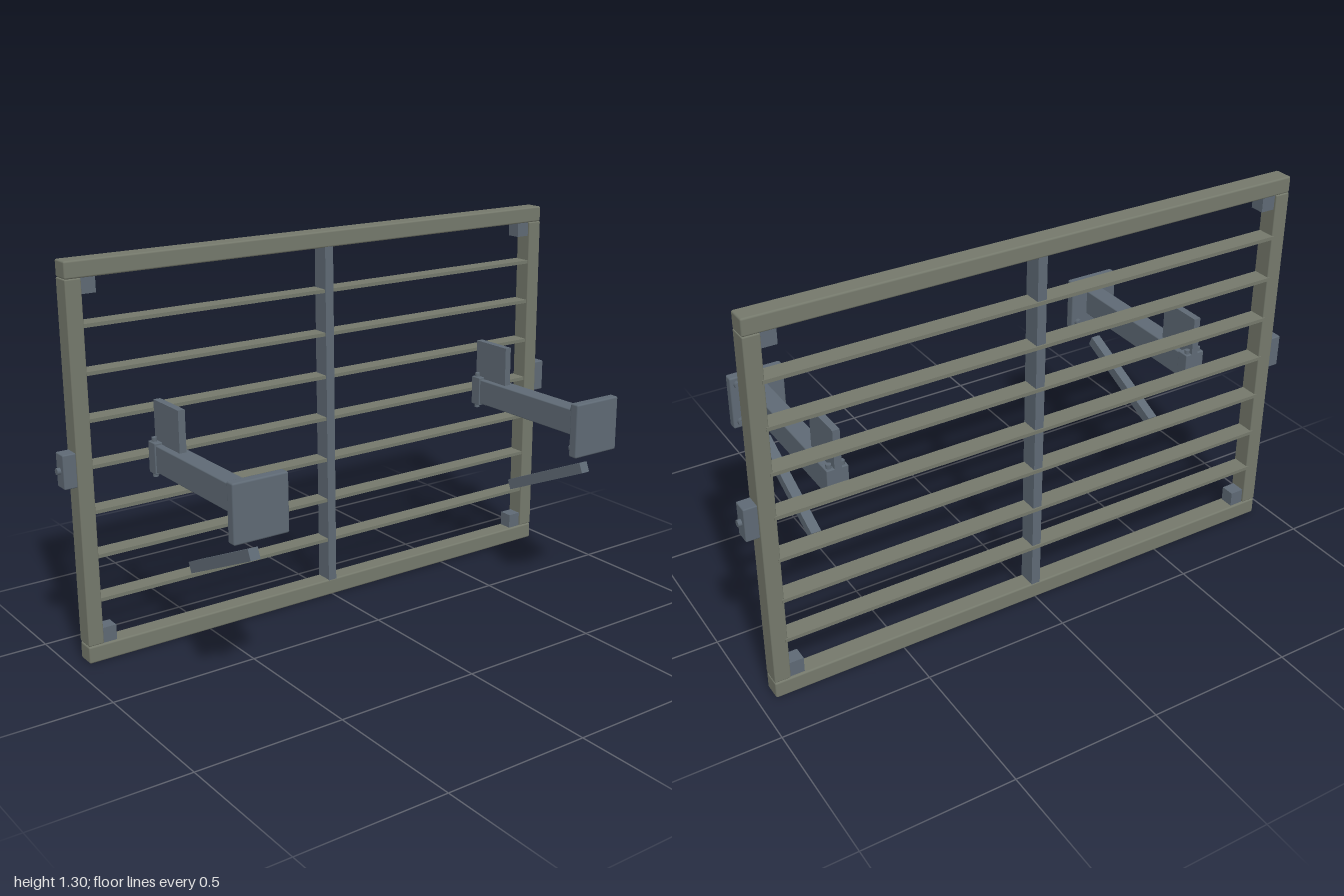
import * as THREE from 'three';
import { RoundedBoxGeometry } from 'three/addons/geometries/RoundedBoxGeometry.js';

export function createModel() {
  const model = new THREE.Group();
  const paint = new THREE.MeshStandardMaterial({ color: 0x74786b });
  paint.name = 'olive grey paint';
  const steel = new THREE.MeshStandardMaterial({ color: 0x5e6974 });
  steel.name = 'blue grey steel';

  const add = (parent, name, geometry, material, x, y, z) => {
    const mesh = new THREE.Mesh(geometry, material);
    mesh.name = name;
    mesh.position.set(x, y, z);
    parent.add(mesh);
    return mesh;
  };
  // Box from its min and max corners, with an optional softened edge
  const block = (parent, name, material, [x0, y0, z0], [x1, y1, z1], r = 0) => {
    const s = [x1 - x0, y1 - y0, z1 - z0];
    const g = r ? new RoundedBoxGeometry(...s, 2, r) : new THREE.BoxGeometry(...s);
    return add(parent, name, g, material, (x0 + x1) / 2, (y0 + y1) / 2, (z0 + z1) / 2);
  };

  // Outer frame
  const back = -0.34, front = -0.275, mid = -0.307;
  block(model, 'bottomRail', paint, [-0.945, 0, back], [0.945, 0.058, front], 0.006);
  block(model, 'topRail', paint, [-0.945, 1.25, back], [0.945, 1.305, front], 0.006);

  // Horizontal slats and the centre upright
  for (let i = 0; i < 7; i++) {
    const y = 0.209 + i * 0.149;
    block(model, 'slat', paint, [-0.9, y - 0.006, -0.343], [0.9, y + 0.006, -0.28]);
  }
  block(model, 'centreUpright', steel, [-0.016, 0.055, -0.338], [0.016, 1.252, -0.276]);

  for (const s of [1, -1]) {
    const side = s > 0 ? 'left' : 'right';
    const group = new THREE.Group();
    group.name = side + 'Side';
    model.add(group);
    // Side piece spanning two distances from the centre
    const piece = (name, mat, a, b, y0, y1, z0, z1, r) =>
      block(group, name, mat, [Math.min(s * a, s * b), y0, z0], [Math.max(s * a, s * b), y1, z1], r);

    piece('framePost', paint, 0.892, 0.945, 0.06, 1.25, back, front, 0.004);
    for (const y of [0.058, 1.2]) {
      piece('cornerBlock', steel, 0.843, 0.893, y, y + 0.052, -0.332, -0.283);
    }

    // Side lug with its bolt
    piece('sideLug', steel, 0.943, 0.988, 0.6, 0.712, -0.332, -0.28, 0.004);
    add(group, 'lugBolt', new THREE.CylinderGeometry(0.011, 0.011, 0.02, 12), steel,
      s * 0.99, 0.656, mid).rotation.z = Math.PI / 2;

    // Support arm, end plate and upright fin
    piece('arm', steel, 0.633, 0.697, 0.612, 0.702, -0.274, 0.315, 0.004);
    piece('endPlate', steel, 0.57, 0.758, 0.562, 0.75, 0.308, 0.343, 0.006);
    piece('fin', steel, 0.651, 0.675, 0.695, 0.84, -0.274, -0.115);

    // Bolt heads behind the plate
    for (const dx of [-0.069, 0.069]) for (const dy of [-0.069, 0.069]) {
      add(group, 'plateBolt', new THREE.CylinderGeometry(0.013, 0.013, 0.016, 12), steel,
        s * 0.664 + dx, 0.656 + dy, 0.302).rotation.x = Math.PI / 2;
    }

    // Clamp at the root of the arm, with small bolts above and below
    piece('armClamp', steel, 0.629, 0.701, 0.605, 0.709, -0.274, -0.23, 0.003);
    for (const dx of [-0.022, 0.022]) for (const y of [0.6, 0.714]) {
      add(group, 'clampBolt', new THREE.CylinderGeometry(0.009, 0.009, 0.016, 10), steel,
        s * 0.665 + dx, y, -0.258);
    }

    // Slanted stay below the arm
    add(group, 'slantedStay', new THREE.BoxGeometry(0.034, 0.037, 0.398), steel,
      s * 0.663, 0.42, 0.111).rotation.x = -0.42;
  }
  return model;
}
